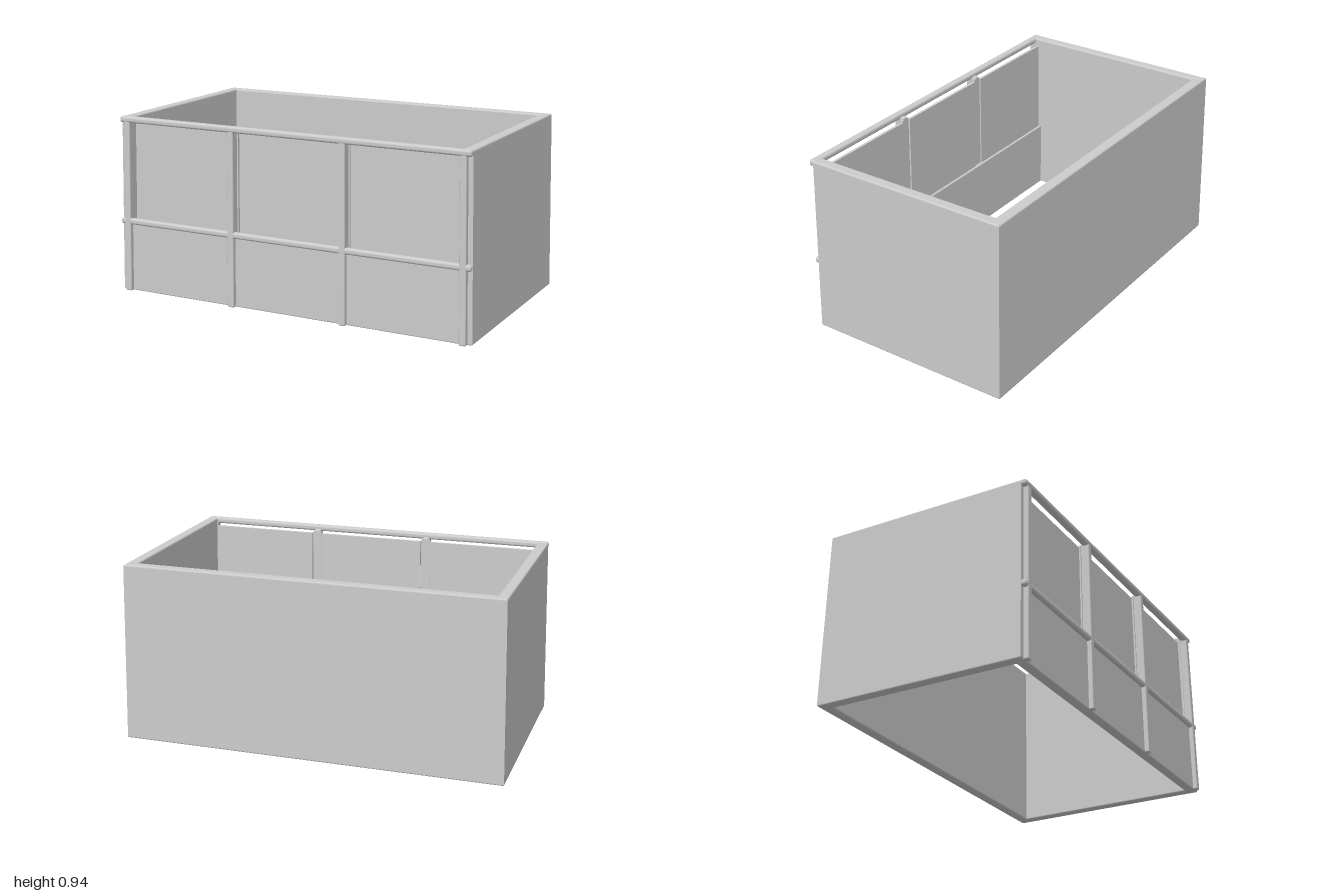
import * as THREE from 'three';
import { RoundedBoxGeometry } from 'three/addons/geometries/RoundedBoxGeometry.js';

const H = 0.937;

export function createModel() {
  const model = new THREE.Group();
  model.name = 'openBox';
  const grey = new THREE.MeshStandardMaterial({ color: 0xcccccc });
  grey.name = 'plain grey';

  // Everything leans slightly inward towards the top
  function add(name, geometry) {
    const p = geometry.attributes.position;
    for (let i = 0; i < p.count; i++) {
      const t = p.getY(i) / H;
      p.setX(i, p.getX(i) * (1 - 0.02 * t));
      p.setZ(i, p.getZ(i) * (1 - 0.0165 * t));
    }
    const mesh = new THREE.Mesh(geometry, grey);
    mesh.name = name;
    model.add(mesh);
  }

  // Rounded bar given by its limits on each axis
  function bar(name, x0, x1, y0, y1, z0, z1, r) {
    const g = new RoundedBoxGeometry(x1 - x0, y1 - y0, z1 - z0, 3, r);
    g.translate((x0 + x1) / 2, (y0 + y1) / 2, (z0 + z1) / 2);
    add(name, g);
  }

  // Back and side walls as one U-shaped outline
  const outline = [
    [-1, -0.543], [-1, 0.57], [1, 0.57], [1, -0.543],
    [0.944, -0.543], [0.944, 0.513], [-0.944, 0.513], [-0.944, -0.543],
  ];
  const shape = new THREE.Shape(outline.map(([x, y]) => new THREE.Vector2(x, y)));
  const b = 0.008;
  const walls = new THREE.ExtrudeGeometry(shape, {
    depth: H - 2 * b, bevelEnabled: true, bevelSize: b, bevelThickness: b,
    bevelOffset: -b, bevelSegments: 3,
  });
  walls.rotateX(-Math.PI / 2);
  walls.translate(0, b, 0);
  add('backAndSideWalls', walls);

  // Low front wall
  bar('frontLowerWall', -0.95, 0.95, 0, 0.38, 0.492, 0.545, 0.006);

  // Thin panes set back between the posts
  const panes = [[-0.932, -0.345], [-0.291, 0.291], [0.345, 0.932]];
  for (const [x0, x1] of panes) {
    const g = new THREE.BoxGeometry(x1 - x0, 0.53, 0.014);
    g.translate((x0 + x1) / 2, 0.635, 0.51);
    add('frontPane', g);
  }

  // Front posts: two at the corners, two between the panes
  for (const s of [-1, 1]) {
    const c = s * 0.957;
    bar('cornerPost', c - 0.018, c + 0.018, 0, 0.92, 0.525, 0.568, 0.007);
    const m = s * 0.319;
    bar('middlePost', m - 0.018, m + 0.018, 0, 0.92, 0.508, 0.568, 0.007);
    bar('middlePostBacking', m - 0.025, m + 0.025, 0.38, 0.91, 0.508, 0.525, 0.003);
  }

  // Horizontal rails
  bar('topRail', -1, 1, 0.908, 0.94, 0.53, 0.57, 0.012);
  bar('middleRail', -1, 1, 0.365, 0.397, 0.535, 0.568, 0.012);

  return model;
}
